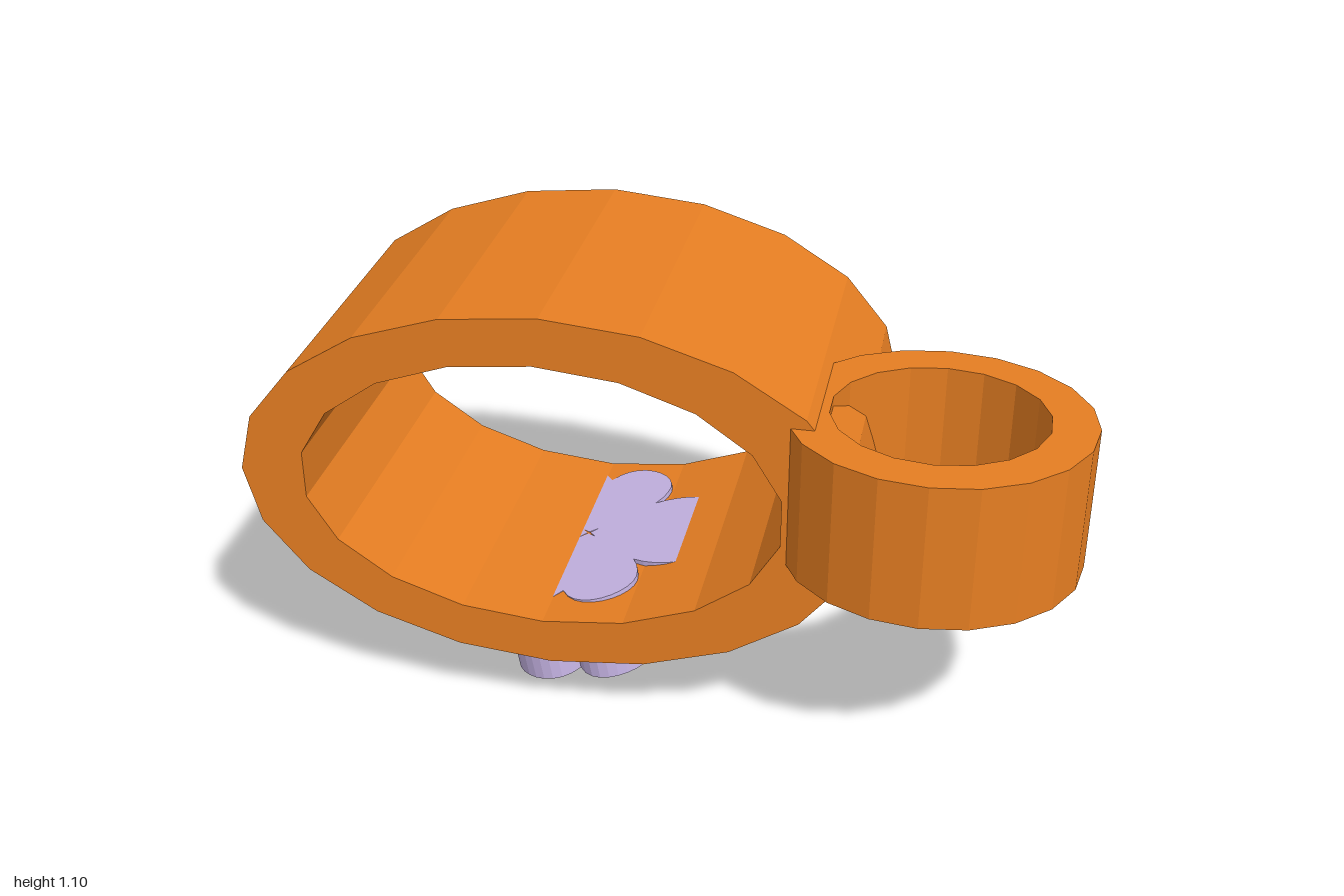
import * as THREE from 'three';

const orange = new THREE.MeshStandardMaterial({ color: 0xe67e22, flatShading: true });
const lilac = new THREE.MeshStandardMaterial({ color: 0xc3b1e1, flatShading: true });

// Corners of a faceted ellipse; a corner always lies at the top
function ellipsePoints(cx, cy, rx, ry, sides, minX = -Infinity) {
  return Array.from({ length: sides }, (_, i) => {
    const a = Math.PI / 2 + (i / sides) * Math.PI * 2;
    return new THREE.Vector2(Math.max(minX, cx + rx * Math.cos(a)), cy + ry * Math.sin(a));
  });
}

// Thick faceted ring, extruded along +z
function ringGeometry(outer, inner, depth) {
  const shape = new THREE.Shape(outer);
  shape.holes.push(new THREE.Path(inner));
  return new THREE.ExtrudeGeometry(shape, { depth, bevelEnabled: false });
}

function addMesh(parent, name, geometry, material) {
  const mesh = new THREE.Mesh(geometry, material);
  mesh.name = name;
  parent.add(mesh);
  return mesh;
}

export function createModel() {
  const model = new THREE.Group();
  model.name = 'ringWithClover';

  // Large oval band, open to front and back
  const band = ringGeometry(
    ellipsePoints(-0.25, 0.64, 0.75, 0.465, 20),
    ellipsePoints(-0.268, 0.638, 0.584, 0.347, 18),
    0.78
  );
  band.translate(0, 0, -0.49);
  addMesh(model, 'largeBand', band, orange);

  // Small upright ring, its left edge trimmed to stay inside the band's wall
  const loop = ringGeometry(
    ellipsePoints(0.643, 0.162, 0.355, 0.325, 20, 0.307),
    ellipsePoints(0.643, 0.158, 0.25, 0.23, 18),
    0.36
  );
  loop.rotateX(Math.PI / 2);
  loop.translate(0, 0.89, 0);
  addMesh(model, 'smallRing', loop, orange);

  // Four heart-shaped petals under the band, tilted together
  const heart = new THREE.Shape();
  heart.moveTo(0.004, 0);
  heart.bezierCurveTo(0.06, -0.07, 0.12, -0.16, 0.22, -0.163);
  heart.bezierCurveTo(0.3, -0.163, 0.375, -0.05, 0.275, 0);
  heart.bezierCurveTo(0.375, 0.05, 0.3, 0.163, 0.22, 0.163);
  heart.bezierCurveTo(0.12, 0.16, 0.06, 0.07, 0.004, 0);
  const petal = new THREE.ExtrudeGeometry(heart, { depth: 0.234, bevelEnabled: false, curveSegments: 10 });
  petal.rotateX(-Math.PI / 2);

  const clover = new THREE.Group();
  clover.name = 'clover';
  for (let i = 0; i < 4; i++) {
    addMesh(clover, 'petal' + (i + 1), petal, lilac).rotation.y = (i * Math.PI) / 2;
  }
  clover.scale.x = 1.09;
  clover.rotation.z = 0.17;
  clover.position.set(-0.21, 0.064, -0.12);
  model.add(clover);

  return model;
}
